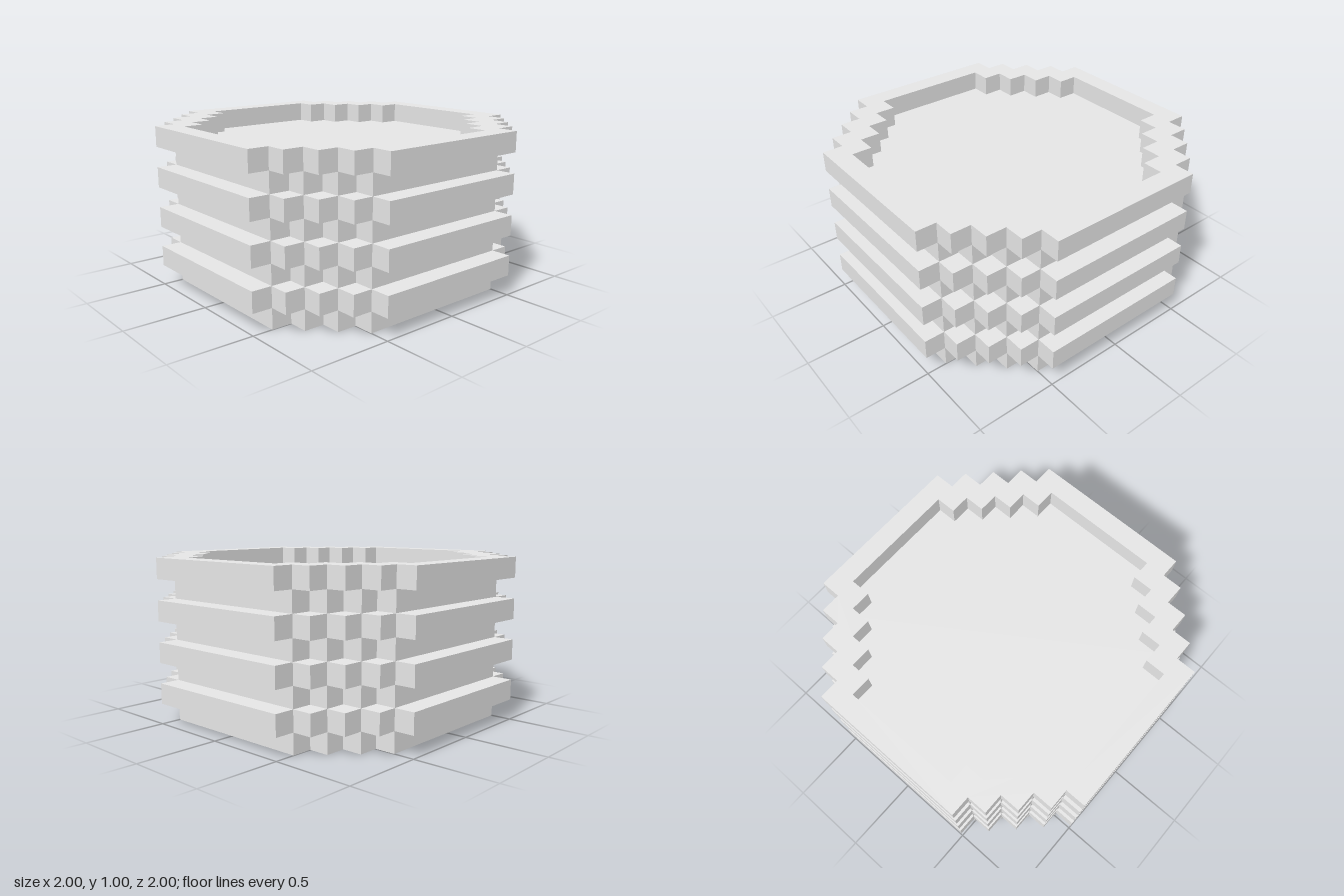
import * as THREE from 'three';

const U = 0.125; // one block of the stepped grid

// Stepped round outline: outer corners run diagonally from (b, a) to (a, b), in blocks
function steppedPoints(a, b) {
  const quarter = [];
  for (let x = b, y = a; y <= b; x--, y++) {
    quarter.push([x, y]);
    if (y < b) quarter.push([x - 1, y]);
  }
  // Repeat the quarter counterclockwise around the centre
  const points = [];
  for (let q = 0; q < 4; q++) {
    for (const [x, y] of quarter) {
      const [px, py] = [[x, y], [-y, x], [-x, -y], [y, -x]][q];
      points.push(new THREE.Vector2(px * U, py * U));
    }
  }
  return points;
}

export function createModel() {
  const model = new THREE.Group();
  model.name = 'steppedDrum';
  const grey = new THREE.MeshStandardMaterial({ color: 0xe6e6e6 });
  grey.name = 'lightGrey';

  // One block-high layer lying flat at the given level
  function addLayer(name, shape, level) {
    const geometry = new THREE.ExtrudeGeometry(shape, { depth: U, bevelEnabled: false });
    geometry.rotateX(-Math.PI / 2);
    const mesh = new THREE.Mesh(geometry, grey);
    mesh.name = name;
    mesh.position.y = level * U;
    model.add(mesh);
  }

  // Recessed layers alternate with protruding bands
  for (let level = 0; level < 7; level++) {
    const wide = level % 2 === 1;
    addLayer(wide ? 'band' : 'recessedLayer', new THREE.Shape(steppedPoints(4, wide ? 8 : 7)), level);
  }

  // Raised rim around the flat top
  const rim = new THREE.Shape(steppedPoints(4, 8));
  rim.holes.push(new THREE.Path(steppedPoints(3, 7)));
  addLayer('rim', rim, 7);

  return model;
}
